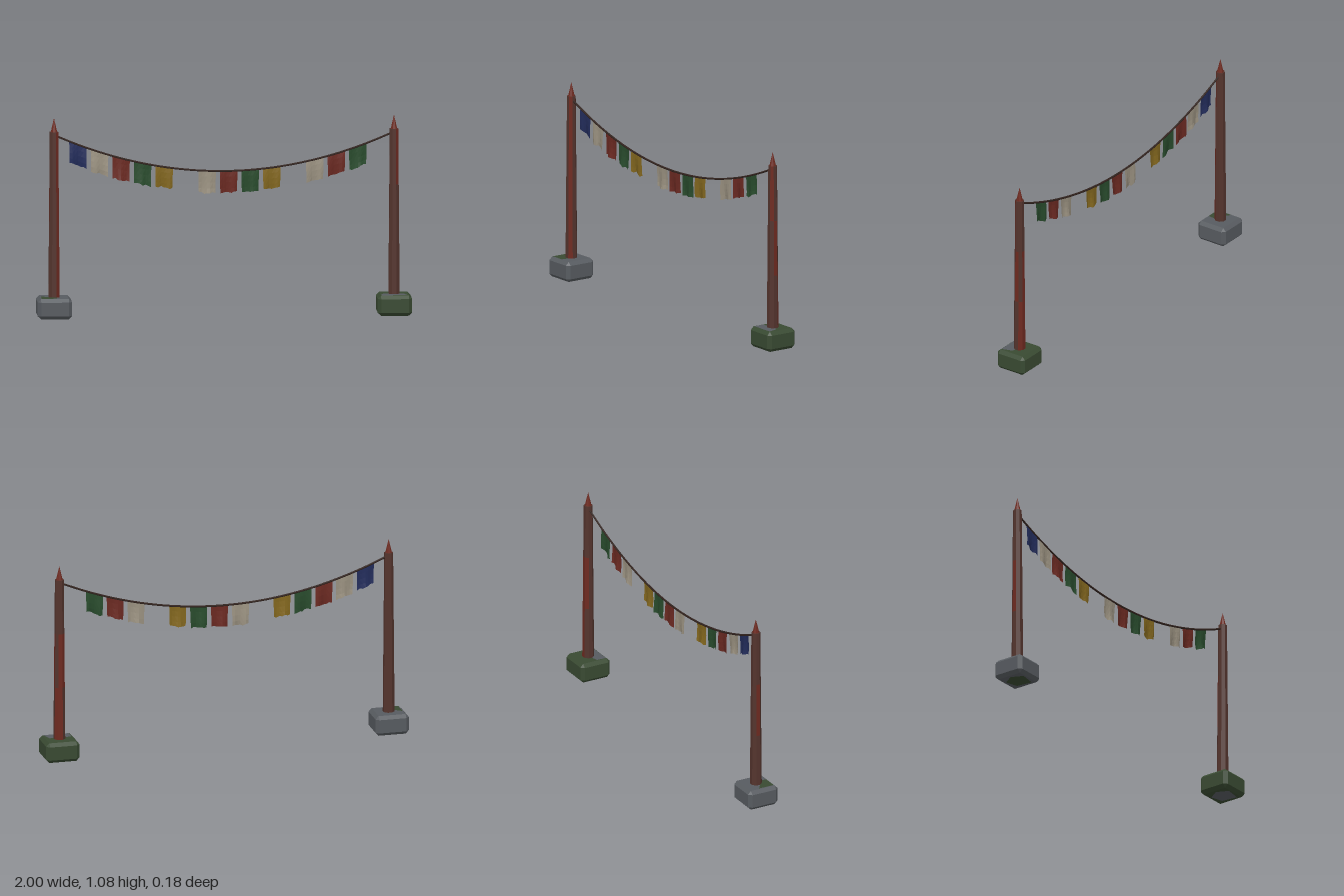
import * as THREE from 'three';
import { ConvexGeometry } from 'three/addons/geometries/ConvexGeometry.js';

const mat = (name, color, extra = {}) => {
  const m = new THREE.MeshStandardMaterial({ color, ...extra });
  m.name = name;
  return m;
};

const POST_X = 0.908;
const ropeY = (x) => 0.78 + 0.195 * (x / 0.89) ** 2;
const hash = (n) => {
  const s = Math.sin(n * 12.9898 + 4.1) * 43758.5453;
  return s - Math.floor(s);
};

export function createModel() {
  const model = new THREE.Group();
  model.name = 'flagLine';
  const flat = { flatShading: true };
  const cloth = { side: THREE.DoubleSide, flatShading: true };
  const wood = mat('weatheredWood', 0x54342d, flat);
  const paint = mat('redPaint', 0x6e2a20, flat);
  const stone = mat('stone', 0x575b60, flat);
  const moss = mat('moss', 0x394a32, flat);
  const ropeMat = mat('rope', 0x33241f);
  const flagMats = {
    blue: mat('blueCloth', 0x232d5c, cloth),
    white: mat('whiteCloth', 0x9c9382, cloth),
    red: mat('redCloth', 0x6c2a22, cloth),
    green: mat('greenCloth', 0x294c2d, cloth),
    yellow: mat('yellowCloth', 0x84681f, cloth),
  };

  const add = (parent, name, geometry, material, x = 0, y = 0, z = 0) => {
    const mesh = new THREE.Mesh(geometry, material);
    mesh.name = name;
    mesh.position.set(x, y, z);
    parent.add(mesh);
    return mesh;
  };

  // Block with every edge and corner cut
  const chamferedBlock = (w, h, d, c) => {
    const pts = [];
    for (const sx of [-1, 1]) for (const sy of [-1, 1]) for (const sz of [-1, 1]) {
      const p = [w / 2, h / 2, d / 2];
      for (let full = 0; full < 3; full++) {
        const q = p.map((v, i) => (i === full ? v : v - c));
        pts.push(new THREE.Vector3(q[0] * sx, q[1] * sy, q[2] * sz));
      }
    }
    return new ConvexGeometry(pts);
  };

  // Thin irregular patch lying on the block's top or underside
  const patch = (points, facing) => {
    const g = new THREE.ShapeGeometry(new THREE.Shape(points.map(([x, z]) => new THREE.Vector2(x, -z))));
    g.rotateX(-Math.PI / 2);
    if (facing < 0) g.rotateZ(Math.PI);
    return g;
  };

  // Post with streaks of red paint along its facets
  const postGeometry = (seed) => {
    const sides = 8, rows = 6;
    const g = new THREE.CylinderGeometry(0.024, 0.032, 0.9, sides, rows, true);
    g.rotateY(Math.PI / 8);
    g.clearGroups();
    for (let s = 0; s < sides; s++) for (let r = 0; r < rows; r++) {
      const streak = hash(seed + s * 7 + Math.floor(r / 2) * 3) < 0.3 ? 1 : 0;
      g.addGroup((s * rows + r) * 6, 6, streak);
    }
    return g;
  };

  for (const side of [-1, 1]) {
    const assembly = new THREE.Group();
    assembly.name = side < 0 ? 'rightPost' : 'leftPost';
    assembly.position.x = side * POST_X;
    model.add(assembly);

    add(assembly, 'base', chamferedBlock(0.184, 0.11, 0.18, 0.018), side < 0 ? stone : moss, 0, 0.0555);
    const patchMat = side < 0 ? moss : stone;
    const corner = side < 0
      ? [[-0.07, 0.07], [0.01, 0.07], [0.015, 0.025], [-0.03, 0.01], [-0.07, -0.02]]
      : [[-0.07, 0.07], [0.07, 0.07], [0.05, 0.01], [-0.01, 0], [-0.07, 0.015]];
    add(assembly, 'topPatch', patch(corner, 1), patchMat, 0, 0.1115);
    const under = [[-0.06, 0.05], [0.03, 0.065], [0.06, 0], [0.02, -0.06], [-0.05, -0.04]];
    add(assembly, 'undersidePatch', patch(under, -1), patchMat, 0, 0);

    add(assembly, 'post', postGeometry(side * 3 + 20), [wood, paint], 0, 0.55);
    const cap = new THREE.CircleGeometry(0.024, 8).rotateX(-Math.PI / 2).rotateY(Math.PI / 8);
    add(assembly, 'postTop', cap, wood, 0, 1);
    const tip = new THREE.ConeGeometry(0.018, 0.075, 8, 1, true).rotateY(Math.PI / 8);
    add(assembly, 'spike', tip, paint, 0, 1.0375);
  }

  // Sagging rope between the posts
  const ropePts = [];
  for (let i = 0; i <= 16; i++) {
    const x = -0.89 + (1.78 * i) / 16;
    ropePts.push(new THREE.Vector3(x, ropeY(x), 0));
  }
  add(model, 'rope', new THREE.TubeGeometry(new THREE.CatmullRomCurve3(ropePts), 48, 0.0055, 6), ropeMat);

  // Cloth flags: top edge follows the rope, hem is ragged, surface ripples
  const flagGeometry = (cx, seed) => {
    const cols = 6, rows = 4;
    const g = new THREE.PlaneGeometry(0.094, 1, cols, rows);
    const p = g.attributes.position;
    const length = 0.113 + 0.014 * hash(seed);
    const phase = hash(seed + 5) * 6.28;
    for (let i = 0; i < p.count; i++) {
      const col = i % (cols + 1);
      const t = 0.5 - p.getY(i);
      const x = cx + p.getX(i) * (1 - 0.05 * t);
      const hem = t === 1 ? 0.012 * hash(seed * 11 + col) : 0;
      const z = t * (0.007 * Math.sin(col * 1.3 + phase) + 0.004 * Math.sin(t * 3 + phase));
      p.setXYZ(i, x, ropeY(x) - t * length + hem, z);
    }
    g.computeVertexNormals();
    return g;
  };

  const order = ['blue', 'white', 'red', 'green', 'yellow'];
  const missing = [5, 10];
  for (let i = 0; i < 14; i++) {
    if (missing.includes(i)) continue;
    const colour = order[i % 5];
    add(model, `${colour}Flag`, flagGeometry(-0.78 + i * 0.115, i + 1), flagMats[colour]);
  }
  return model;
}
